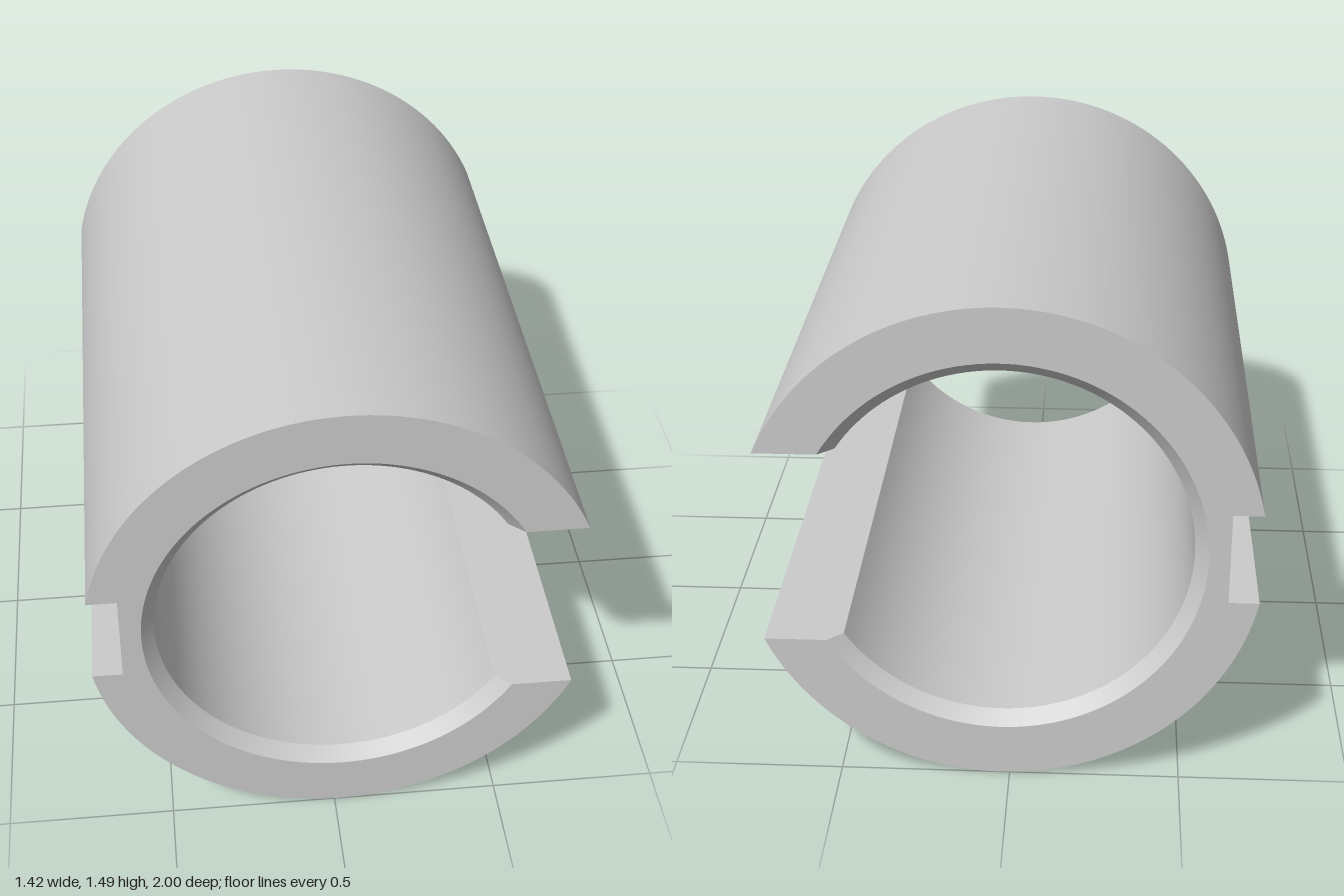
import * as THREE from 'three';
import { toCreasedNormals } from 'three/addons/utils/BufferGeometryUtils.js';

const CX = 0.025, CY = 0.746;            // bore axis
const OUTER = 0.746, BORE = 0.547, MOUTH = 0.585;
const SLOT = 0.3, KEY = 0.14, KEY_X = -0.62 - CX; // half heights, keyway floor
const HALF = 1, CHAMFER = 0.04;

// Points along a circular arc, ends included
function arc(r, from, to, n) {
  return Array.from({ length: n + 1 }, (_, i) => {
    const a = from + (to - from) * i / n;
    return new THREE.Vector2(CX + r * Math.cos(a), CY + r * Math.sin(a));
  });
}

// Counter-clockwise C-shaped section with keyway, for a given inner radius
function section(inner) {
  const slotOut = Math.asin(SLOT / OUTER), slotIn = Math.asin(SLOT / inner);
  const key = Math.asin(KEY / OUTER);
  return [
    ...arc(OUTER, slotOut, Math.PI - key, 56),
    new THREE.Vector2(CX + KEY_X, CY + KEY),
    new THREE.Vector2(CX + KEY_X, CY - KEY),
    ...arc(OUTER, Math.PI + key, 2 * Math.PI - slotOut, 56),
    ...arc(inner, 2 * Math.PI - slotIn, slotIn, 112),
  ];
}

function sleeveGeometry() {
  const mouth = section(MOUTH), bore = section(BORE);
  const rings = [
    [mouth, -HALF], [bore, -HALF + CHAMFER], [bore, HALF - CHAMFER], [mouth, HALF],
  ];
  const n = mouth.length, positions = [], index = [];
  for (const [pts, z] of rings) for (const p of pts) positions.push(p.x, p.y, z);

  // Walls between neighbouring sections
  for (let k = 0; k < rings.length - 1; k++) {
    for (let i = 0; i < n; i++) {
      const j = (i + 1) % n, a = k * n, b = a + n;
      index.push(a + i, a + j, b + j, a + i, b + j, b + i);
    }
  }
  // End faces
  const last = (rings.length - 1) * n;
  for (const [a, b, c] of THREE.ShapeUtils.triangulateShape(mouth, [])) {
    index.push(last + a, last + b, last + c, c, b, a);
  }

  const geo = new THREE.BufferGeometry();
  geo.setAttribute('position', new THREE.Float32BufferAttribute(positions, 3));
  geo.setIndex(index);
  return toCreasedNormals(geo, 0.4);
}

export function createModel() {
  const group = new THREE.Group();
  group.name = 'slottedBushing';
  const sleeve = new THREE.Mesh(
    sleeveGeometry(),
    new THREE.MeshStandardMaterial({ color: 0xcccccc }),
  );
  sleeve.name = 'slottedSleeve';
  group.add(sleeve);
  return group;
}
